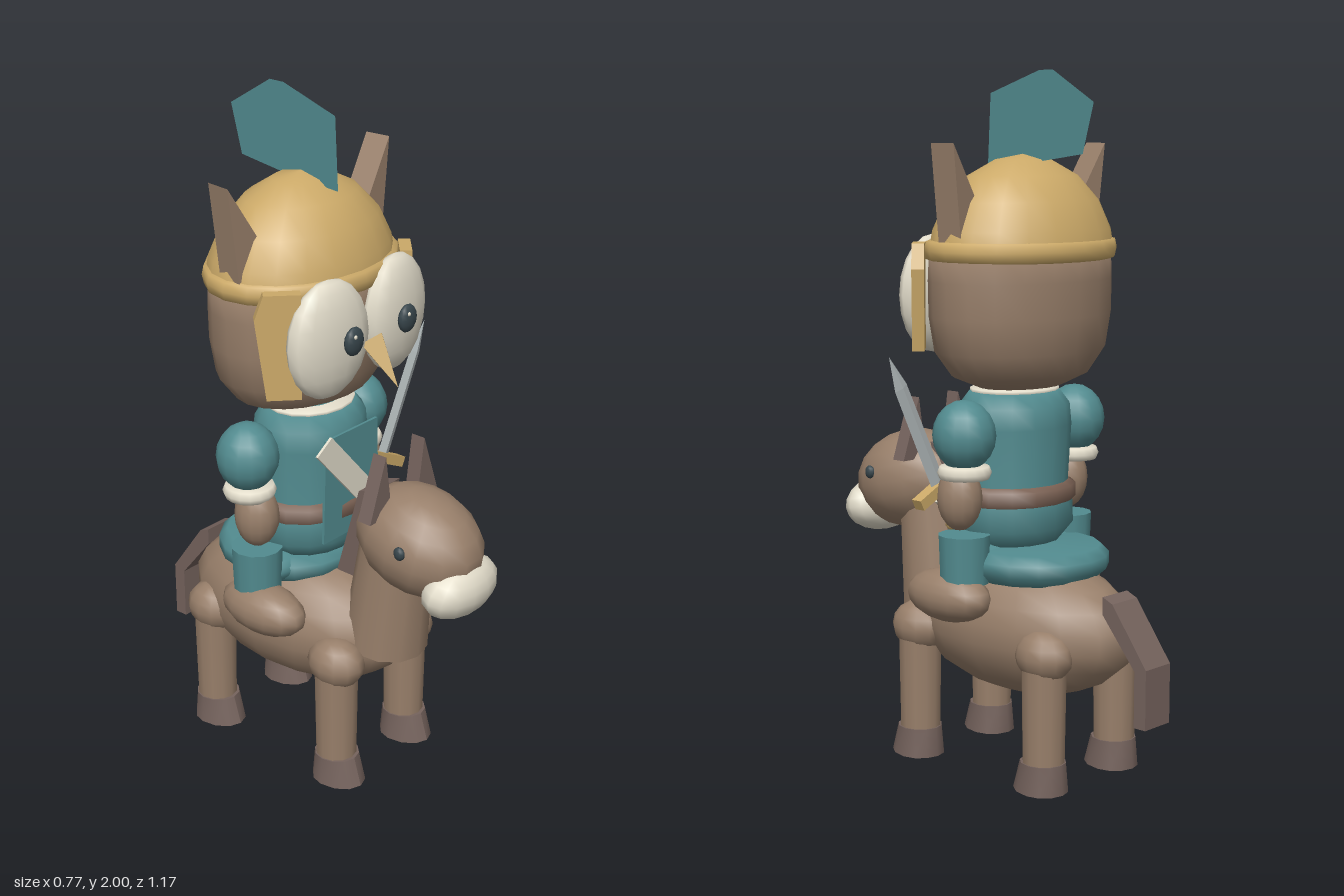
import * as THREE from 'three';

const mat = (name, color, side = THREE.FrontSide) => {
  const m = new THREE.MeshStandardMaterial({ color, side });
  m.name = name;
  return m;
};

export function createModel() {
  const brown = mat('brown', 0x987f6a);
  const hide = mat('dark hide', 0x75635d);
  const teal = mat('teal', 0x528b8f, THREE.DoubleSide);
  const gold = mat('gold', 0xcba968);
  const cream = mat('cream', 0xe2dcca, THREE.DoubleSide);
  const dark = mat('dark eye', 0x38464c);
  const steel = mat('steel', 0xb4bcbd);
  const leather = mat('leather', 0x7d6355);

  const root = new THREE.Group();
  const model = new THREE.Group();
  model.name = 'riderAndMount';
  model.position.x = -0.055; // the sword makes the whole wider on one side
  root.add(model);

  const add = (name, geo, material, pos = [0, 0, 0], rot = [0, 0, 0], parent = model) => {
    const m = new THREE.Mesh(geo, material);
    m.name = name;
    m.position.set(...pos);
    m.rotation.set(...rot);
    parent.add(m);
    return m;
  };
  const ball = (name, material, pos, r, rot, seg = 14) =>
    add(name, new THREE.SphereGeometry(1, seg, Math.round(seg * 0.7)).scale(...r), material, pos, rot);
  const lathe = (pts, depth = 1, seg = 16) =>
    new THREE.LatheGeometry(pts.map(p => new THREE.Vector2(...p)), seg).scale(1, 1, depth);
  const shape = pts => new THREE.Shape(pts.map(p => new THREE.Vector2(...p)));
  const slab = (pts, depth) =>
    new THREE.ExtrudeGeometry(shape(pts), { depth, bevelEnabled: false }).translate(0, 0, -depth / 2);
  const sides = [['right', -1], ['left', 1]];
  // Profiles drawn as (z, y) are turned into the side plane with this rotation
  const SIDE = [0, -Math.PI / 2, 0];

  // ---- Mount ----
  ball('mountBody', brown, [0, 0.425, -0.09], [0.22, 0.205, 0.39], undefined, 16);
  add('mountNeck', new THREE.CylinderGeometry(0.1, 0.125, 0.44, 12), brown, [0, 0.64, 0.265], [0.12, 0, 0]);
  ball('mountHead', brown, [0, 0.79, 0.36], [0.155, 0.15, 0.2], [0.25, 0, 0]);
  ball('mountMuzzle', cream, [0, 0.695, 0.503], [0.14, 0.085, 0.08], [0.2, 0, 0]);
  add('mane', slab([[0.24, 0.92], [0.18, 0.9], [0.1, 0.62], [0.16, 0.62]], 0.107), hide, [0, 0, 0], SIDE);
  add('tail', slab([[-0.43, 0.56], [-0.465, 0.545], [-0.585, 0.38], [-0.585, 0.21],
    [-0.545, 0.21], [-0.545, 0.37], [-0.43, 0.51]], 0.107), hide, [0, 0, 0], SIDE);

  for (const [side, s] of sides) {
    ball(side + 'MountEye', dark, [s * 0.147, 0.82, 0.405], [0.012, 0.02, 0.018], undefined, 10);
    add(side + 'MountEar', slab([[s * 0.055, 0.87], [s * 0.148, 0.87], [s * 0.083, 1.055]], 0.045),
      hide, [0, 0, 0.28]);
    for (const [end, z] of [['Front', 0.185], ['Hind', -0.305]]) {
      const x = s * 0.155;
      ball(`${side}${end}Haunch`, brown, [x, 0.39, z], [0.075, 0.075, 0.09], undefined, 12);
      add(`${side}${end}Leg`, new THREE.CylinderGeometry(0.065, 0.06, 0.33, 12), brown, [x, 0.235, z]);
      // hoof leans forward at the toe
      const hoof = new THREE.CylinderGeometry(0.064, 0.071, 0.085, 12);
      const p = hoof.attributes.position;
      for (let i = 0; i < p.count; i++) {
        const low = p.getY(i) < 0;
        if (p.getZ(i) > 0) p.setZ(i, p.getZ(i) * (low ? 1.35 : 1.1));
      }
      hoof.computeVertexNormals();
      add(`${side}${end}Hoof`, hoof, hide, [x, 0.0425, z]);
    }
  }

  // ---- Rider body ----
  add('saddleSeat', lathe([[0, 0.56], [0.18, 0.57], [0.215, 0.6], [0.215, 0.635], [0.19, 0.66], [0, 0.665]]),
    teal, [0, 0, -0.13]);
  add('tunic', lathe([[0, 0.64], [0.14, 0.66], [0.185, 0.71], [0.182, 0.78], [0.168, 0.84], [0.178, 1.0],
    [0.172, 1.06], [0.14, 1.1], [0, 1.11]], 0.86), teal, [0, 0, -0.05]);
  add('belt', lathe([[0.17, 0.775], [0.192, 0.785], [0.192, 0.825], [0.165, 0.838]], 0.86), leather, [0, 0, -0.05]);
  add('collar', lathe([[0.1, 1.09], [0.138, 1.093], [0.138, 1.108], [0.1, 1.115]], 0.86), cream, [0, 0, -0.05]);
  add('chestPanel', slab([[-0.11, 1.05], [0.11, 1.05], [0.12, 0.73], [-0.12, 0.73]], 0.008), teal, [0, 0, 0.104]);
  add('sash', slab([[-0.155, 1.02], [-0.095, 1.06], [0.16, 0.77], [0.11, 0.72]], 0.008), cream, [0, 0, 0.113]);

  for (const [side, s] of sides) {
    ball(side + 'Sleeve', teal, [s * 0.235, 0.995, -0.075], [0.09, 0.1, 0.09]);
    add(side + 'Cuff', lathe([[0.05, 0.87], [0.07, 0.873], [0.077, 0.89], [0.07, 0.908], [0.04, 0.912]]),
      cream, [s * 0.232, 0, -0.073]);
    ball(side + 'Forearm', brown, [s * 0.228, 0.815, -0.05], [0.063, 0.095, 0.066]);
    add(side + 'Trouser', new THREE.CylinderGeometry(0.075, 0.07, 0.14, 12), teal, [s * 0.22, 0.64, -0.06]);
    ball(side + 'Thigh', teal, [s * 0.13, 0.625, -0.06], [0.13, 0.05, 0.075]);
    ball(side + 'Foot', brown, [s * 0.24, 0.53, -0.018], [0.08, 0.075, 0.148]);
  }

  // ---- Rider head ----
  add('head', lathe([[0, 1.11], [0.14, 1.115], [0.23, 1.15], [0.285, 1.22], [0.303, 1.32], [0.305, 1.42],
    [0.3, 1.52], [0, 1.53]], 0.72, 20), brown, [0, 0, -0.075]);
  add('helmetDome', lathe([[0.3, 1.51], [0.29, 1.56], [0.25, 1.64], [0.18, 1.71], [0.09, 1.755], [0, 1.77]],
    0.75, 20), gold, [0, 0, -0.08]);
  add('helmetRim', lathe([[0.29, 1.475], [0.308, 1.48], [0.314, 1.505], [0.308, 1.53], [0.28, 1.535]],
    0.75, 20), gold, [0, 0, -0.077]);
  add('plume', new THREE.ShapeGeometry(shape([[0.055, 1.735], [0.045, 1.94], [-0.14, 2], [-0.19, 2],
    [-0.338, 1.91], [-0.3, 1.77], [-0.15, 1.75]])), teal, [0, 0, 0], SIDE);

  // Beak: four-sided cone pointing forward and down
  const beak = new THREE.ConeGeometry(0.045, 0.15, 4).toNonIndexed();
  beak.computeVertexNormals();
  add('beak', beak, gold, [0, 1.285, 0.225], [2.45, 0, 0]);

  for (const [side, s] of sides) {
    ball(side + 'EyeDisc', cream, [s * 0.138, 1.375, 0.14], [0.141, 0.17, 0.055], [0, s * 0.12, 0]);
    ball(side + 'Pupil', dark, [s * 0.112, 1.38, 0.21], [0.036, 0.041, 0.017], undefined, 12);
    ball(side + 'Glint', cream, [s * 0.112 - 0.01, 1.398, 0.225], [0.006, 0.006, 0.004], undefined, 8);
    add(side + 'Tuft', slab([[s * 0.29, 1.53], [s * 0.322, 1.8], [s * 0.2, 1.61]], 0.078),
      brown, [0, 0, -0.075], [0, s * 0.1, 0]).position.set(0, 0, -0.075 + 0.03);
    // helmet guard over each cheek
    add(side + 'CheekGuard', slab([[-0.06, -0.15], [0.035, -0.15], [0.065, 0.08], [0.04, 0.15], [-0.06, 0.15]]
      .map(([x, y]) => [s * x, y]), 0.035), gold, [s * 0.262, 1.375, 0.075], [0, s * 0.75, 0]);
  }

  // ---- Sword, held in the left hand ----
  const sword = new THREE.Group();
  sword.name = 'sword';
  sword.position.set(0.25, 0.84, 0.01);
  sword.rotation.z = -0.46;
  model.add(sword);
  const flat4 = (top, bottom, h) => {
    const g = new THREE.CylinderGeometry(top, bottom, h, 4).scale(1, 1, 0.4).toNonIndexed();
    g.computeVertexNormals();
    return g;
  };
  add('blade', flat4(0.024, 0.026, 0.32), steel, [0, 0.17, 0], undefined, sword);
  add('bladeTip', flat4(0, 0.024, 0.1), steel, [0, 0.38, 0], undefined, sword);
  add('guard', new THREE.BoxGeometry(0.185, 0.032, 0.035), gold, [0, 0, 0], undefined, sword);
  add('grip', new THREE.CylinderGeometry(0.016, 0.016, 0.12, 8), leather, [0, -0.06, 0], undefined, sword);
  add('pommel', new THREE.SphereGeometry(0.022, 8, 6), gold, [0, -0.125, 0], undefined, sword);

  return root;
}
